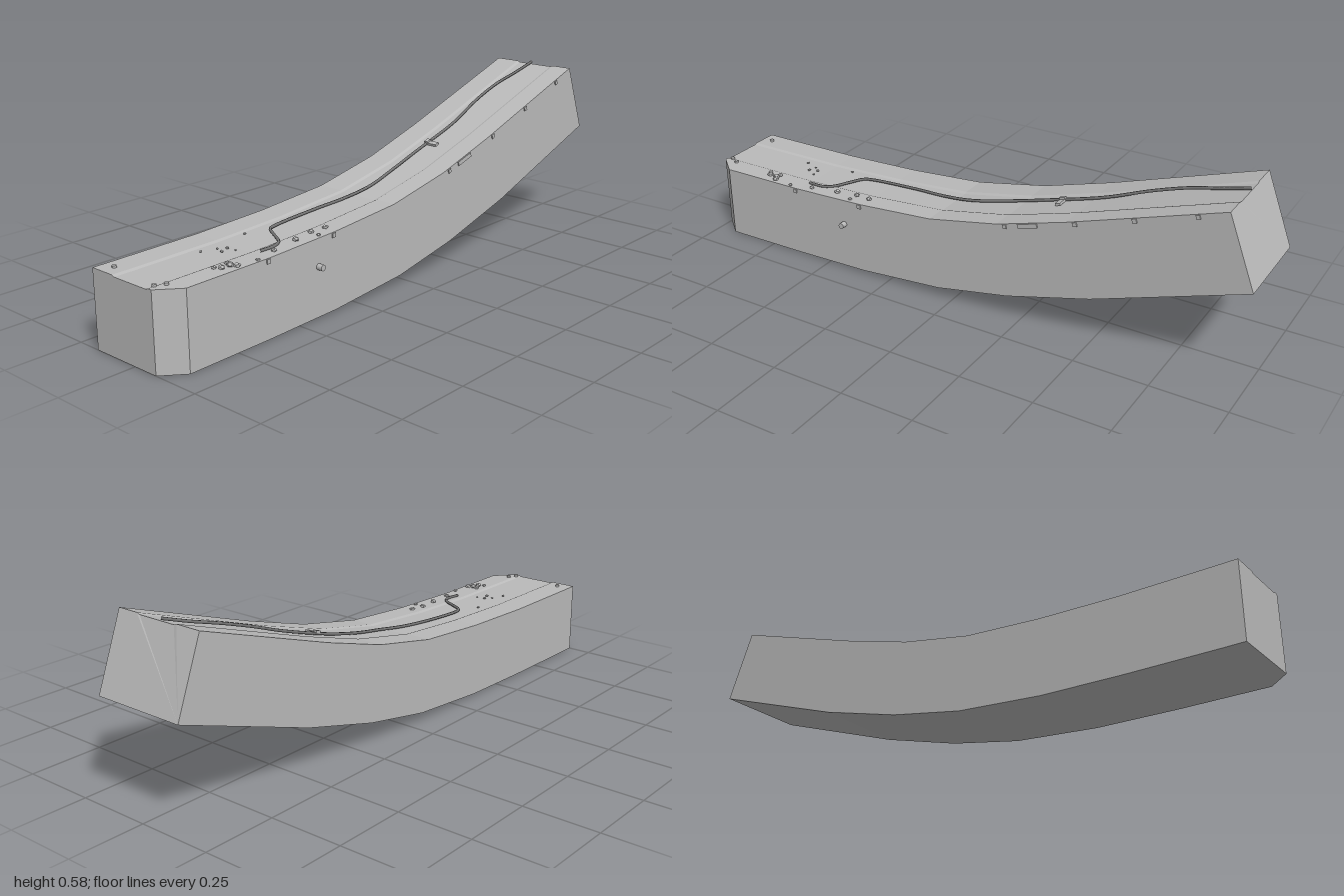
import * as THREE from 'three';

const stone = new THREE.MeshStandardMaterial({ color: 0xbababa });
stone.name = 'stone grey';
const dark = new THREE.MeshStandardMaterial({ color: 0x777777 });
dark.name = 'cable grey';

const FRONT = 0.15, BACK = -0.168;

// stations along the beam: bottom x, bottom y, top x, top y, front z
const STATIONS = [
  [-1, 0, -1, 0.25, 0.09],
  [-0.93, 0, -0.93, 0.25, FRONT],
  [-0.63, 0.003, -0.62, 0.252, FRONT],
  [-0.35, 0.01, -0.35, 0.262, FRONT],
  [-0.05, 0.035, -0.08, 0.283, FRONT],
  [0.21, 0.085, 0.17, 0.333, FRONT],
  [0.5, 0.165, 0.41, 0.405, FRONT],
  [1, 0.34, 0.91, 0.573, FRONT],
];

// height of the walkway surface at x
function topY(x) {
  let i = 0;
  while (i < STATIONS.length - 2 && x > STATIONS[i + 1][2]) i++;
  const [a, b] = [STATIONS[i], STATIONS[i + 1]];
  return a[3] + (b[3] - a[3]) * (x - a[2]) / (b[2] - a[2]);
}

// slope angle of the walkway surface at x
const slope = (x) => Math.atan2(topY(x + 0.02) - topY(x - 0.02), 0.04);

// curved block with a shallow channel along the top
function beamGeometry() {
  const rings = STATIONS.map(([bx, by, tx, ty, f]) => [
    [bx, by, BACK], [bx, by, f], [tx, ty, f], [tx, ty, 0.076],
    [tx, ty - 0.004, 0.066], [tx, ty - 0.004, -0.07], [tx, ty, -0.08], [tx, ty, BACK],
  ]);
  const pos = [];
  const tri = (...pts) => pts.forEach((p) => pos.push(...p));
  const n = rings[0].length;
  for (let i = 0; i < rings.length - 1; i++) {
    const A = rings[i], B = rings[i + 1];
    for (let j = 0; j < n; j++) {
      const k = (j + 1) % n;
      tri(A[j], B[j], B[k]);
      tri(A[j], B[k], A[k]);
    }
  }
  // end caps
  const first = rings[0], last = rings[rings.length - 1];
  for (let j = 1; j < n - 1; j++) {
    tri(first[0], first[j], first[j + 1]);
    tri(last[0], last[j + 1], last[j]);
  }
  const g = new THREE.BufferGeometry();
  g.setAttribute('position', new THREE.Float32BufferAttribute(pos, 3));
  g.computeVertexNormals();
  return g;
}

export function createModel() {
  const model = new THREE.Group();
  model.name = 'curvedBeam';
  const add = (name, geo, mat, x, y, z, parent = model) => {
    const m = new THREE.Mesh(geo, mat);
    m.name = name;
    m.position.set(x, y, z);
    parent.add(m);
    return m;
  };

  add('beam', beamGeometry(), stone, 0, 0, 0);

  // cable winding along the channel
  const route = [
    [-0.61, 0.095], [-0.55, 0.097], [-0.52, 0.08], [-0.49, 0.03], [-0.46, -0.018],
    [-0.43, -0.027], [-0.25, -0.027], [-0.13, -0.016], [-0.02, -0.008], [0.1, -0.02],
    [0.25, -0.031], [0.45, -0.03], [0.6, -0.042], [0.72, -0.042], [0.82, -0.03], [0.91, -0.018],
  ];
  const path = new THREE.CatmullRomCurve3(route.map(([x, z]) => {
    const lift = 0.003 + 0.008 * Math.exp(-(((x - 0.66) / 0.12) ** 2));
    return new THREE.Vector3(x, topY(x) + lift, z);
  }));
  add('cable', new THREE.TubeGeometry(path, 90, 0.005, 6), dark, 0, 0, 0);

  // clip holding the cable
  const clip = new THREE.Group();
  clip.name = 'cableClip';
  clip.position.set(0.31, topY(0.31), -0.01);
  clip.rotation.z = slope(0.31);
  model.add(clip);
  add('clipPlate', new THREE.BoxGeometry(0.018, 0.008, 0.04), stone, 0, 0.002, 0, clip);
  add('clipBridge', new THREE.BoxGeometry(0.02, 0.008, 0.014), stone, 0, 0.008, -0.02, clip);

  // knob on the front wall
  const knob = new THREE.CylinderGeometry(0.01, 0.01, 0.02, 12).rotateX(Math.PI / 2);
  add('frontKnob', knob, stone, -0.425, 0.17, 0.16);

  // bolts at the square end
  const bolt = new THREE.CylinderGeometry(0.007, 0.007, 0.008, 8);
  for (const [x, z] of [[-0.96, -0.122], [-0.978, 0.075], [-0.948, 0.09]])
    add('bolt', bolt, stone, x, topY(x) + 0.003, z);

  // loose stones: x, z, radius
  const pebble = new THREE.DodecahedronGeometry(1, 0);
  const pebbles = [
    [-0.785, 0.095, 0.008], [-0.772, 0.112, 0.011], [-0.738, 0.098, 0.009], [-0.742, 0.115, 0.012],
    [-0.732, 0.132, 0.011], [-0.72, -0.035, 0.005], [-0.68, 0.01, 0.006], [-0.65, 0, 0.006],
    [-0.672, -0.018, 0.004], [-0.66, 0.14, 0.007], [-0.645, 0.03, 0.004], [-0.58, 0.122, 0.009],
    [-0.535, -0.05, 0.005], [-0.48, 0.11, 0.011], [-0.405, 0.1, 0.01], [-0.408, 0.135, 0.007],
    [-0.35, 0.106, 0.01],
  ];
  pebbles.forEach(([x, z, r], i) => {
    const p = add('looseStone', pebble, stone, x, topY(x) + r * 0.4, z);
    p.scale.set(r, r * 0.7, r * 0.9);
    p.rotation.y = i * 1.3;
  });

  // chips along the front top edge: x, width
  const chips = [[-0.63, 0.012], [-0.36, 0.014], [0.2, 0.012], [0.28, 0.07], [0.44, 0.014], [0.63, 0.014], [0.82, 0.012]];
  for (const [x, w] of chips) {
    const c = add('edgeChip', new THREE.BoxGeometry(w, 0.014, 0.008), stone, x, topY(x) - 0.009, FRONT);
    c.rotation.z = slope(x);
  }
  return model;
}
